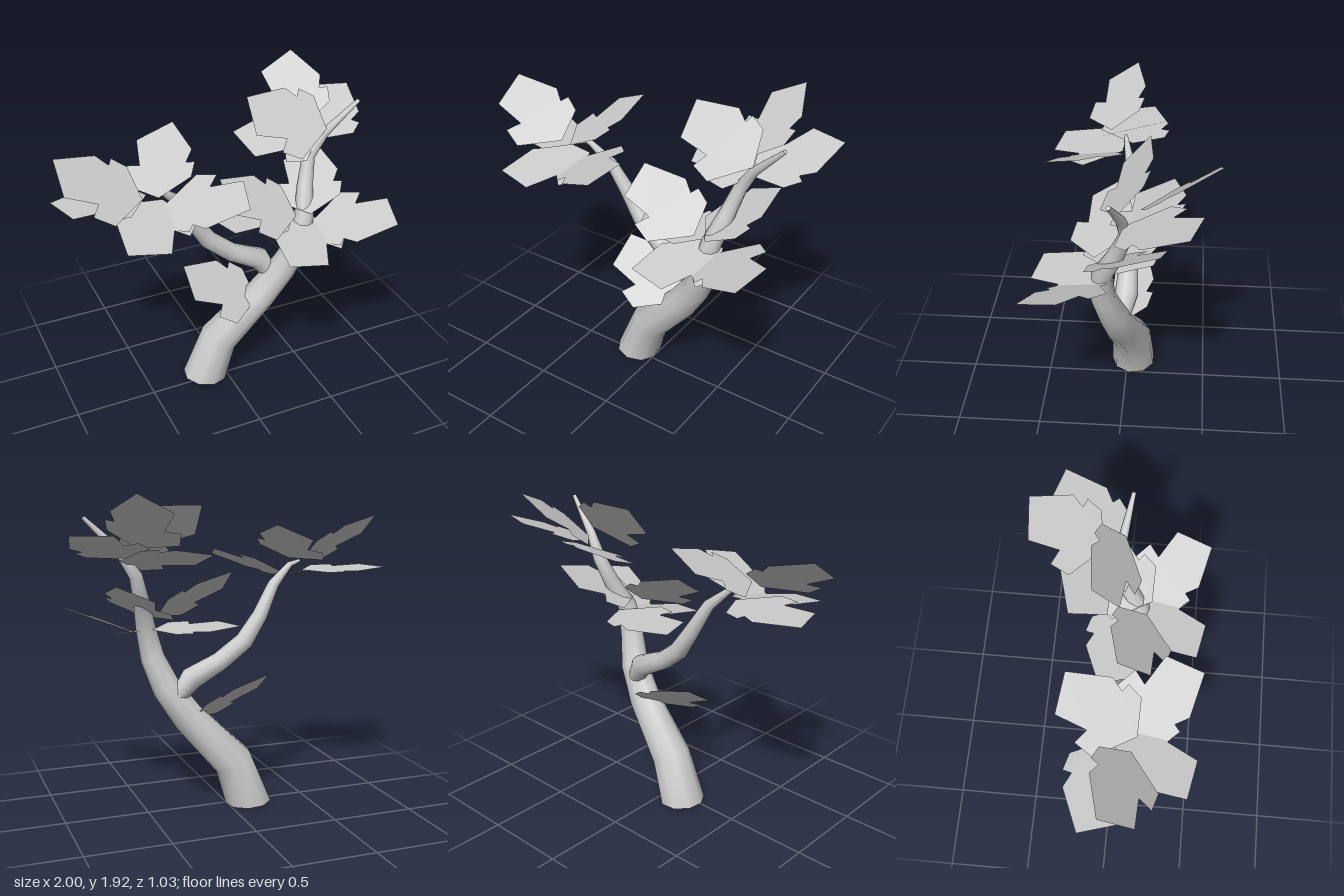
import * as THREE from 'three';

const bark = new THREE.MeshStandardMaterial({ color: 0xcccccc });
const leafMaterial = new THREE.MeshStandardMaterial({ color: 0xcccccc, side: THREE.DoubleSide });

// Tapering limb: rows of [x, y, z, radius], one ring of vertices each, closed ends
function limb(name, rows, startDir) {
  const sides = 9, pos = [], idx = [];
  const pts = rows.map(r => new THREE.Vector3(r[0], r[1], r[2]));
  const up = new THREE.Vector3(0, 1, 0);
  const last = rows.length - 1;
  rows.forEach((row, i) => {
    const dir = pts[Math.min(i + 1, last)].clone().sub(pts[Math.max(i - 1, 0)]).normalize();
    if (i === 0 && startDir) dir.copy(startDir).normalize();
    const q = new THREE.Quaternion().setFromUnitVectors(up, dir);
    for (let s = 0; s < sides; s++) {
      const a = (s / sides) * Math.PI * 2;
      const p = new THREE.Vector3(Math.sin(a) * row[3], 0, Math.cos(a) * row[3]);
      pos.push(...p.applyQuaternion(q).add(pts[i]).toArray());
      if (i < last) {
        const b = i * sides + s, c = i * sides + (s + 1) % sides;
        idx.push(b, c, c + sides, b, c + sides, b + sides);
      }
    }
  });
  // Caps use their own vertices so the rim stays sharp
  for (const end of [0, last]) {
    const base = pos.length / 3;
    pos.push(...pos.slice(end * sides * 3, (end + 1) * sides * 3));
    for (let s = 1; s < sides - 1; s++) {
      idx.push(base, ...(end === 0 ? [base + s + 1, base + s] : [base + s, base + s + 1]));
    }
  }
  const geo = new THREE.BufferGeometry();
  geo.setAttribute('position', new THREE.Float32BufferAttribute(pos, 3));
  geo.setIndex(idx);
  geo.computeVertexNormals();
  const mesh = new THREE.Mesh(geo, bark);
  mesh.name = name;
  return mesh;
}

// Flat lobed leaf outline, stalk at the origin, growing along +x
const outline = [
  [0, 0], [0.066, -0.2], [0.16, -0.238], [0.178, -0.19], [0.253, -0.238],
  [0.5, -0.167], [0.458, 0.06], [0.267, 0.07], [0.303, 0.155], [0.182, 0.19],
];
const leafGeometry = new THREE.ShapeGeometry(
  new THREE.Shape(outline.map(p => new THREE.Vector2(p[0], p[1]))));

// Places a leaf by its stalk point, growing direction and sideways direction
function leaf(name, [origin, along, across]) {
  const u = new THREE.Vector3(...along).normalize();
  const n = u.clone().cross(new THREE.Vector3(...across)).normalize();
  const v = n.clone().cross(u);
  const mesh = new THREE.Mesh(leafGeometry, leafMaterial);
  mesh.quaternion.setFromRotationMatrix(new THREE.Matrix4().makeBasis(u, v, n));
  mesh.position.set(...origin);
  mesh.name = name;
  return mesh;
}

function cluster(name, leaves, offset = [0, 0, 0]) {
  const group = new THREE.Group();
  group.name = name;
  leaves.forEach((l, i) => group.add(leaf(name + 'Leaf' + (i + 1), l)));
  group.position.set(...offset);
  return group;
}

export function createModel() {
  const tree = new THREE.Group();
  tree.name = 'tree';

  // Leaning trunk, running out into the top twig
  tree.add(limb('trunk', [
    [-0.13, 0.01, -0.04, 0.14], [-0.03, 0.28, -0.035, 0.122], [0.23, 0.56, 0.01, 0.1],
    [0.36, 0.75, 0.05, 0.088], [0.43, 0.93, 0.1, 0.074], [0.47, 1.12, 0.1, 0.06],
    [0.51, 1.27, 0.02, 0.05], [0.56, 1.44, -0.04, 0.04], [0.65, 1.58, -0.02, 0.028],
    [0.84, 1.77, 0.025, 0.012],
  ], new THREE.Vector3(0.07, 1, 0)));

  // Side branch
  tree.add(limb('sideBranch', [
    [0.3, 0.7, 0, 0.05], [0.23, 0.81, -0.02, 0.07], [0.05, 0.9, -0.02, 0.058],
    [-0.1, 1.02, -0.04, 0.056], [-0.2, 1.17, -0.04, 0.046], [-0.3, 1.35, -0.01, 0.034],
    [-0.42, 1.46, 0.025, 0.018], [-0.49, 1.48, 0.035, 0.01],
  ], new THREE.Vector3(-0.3, 1, 0)));

  // Fan of five leaves, shared by the branch tip and the middle of the trunk
  const fan = [
    [[-0.553, 1.48, 0.13], [-0.928, 0.371, 0], [-0.2, -0.5, 0.839]],
    [[-0.47, 1.485, 0.155], [0.2, 0.36, -0.91], [-0.884, -0.331, -0.325]],
    [[-0.485, 1.427, -0.006], [-0.995, 0.02, 0.105], [0.105, 0, 0.995]],
    [[-0.422, 1.398, 0.1], [0.82, 0.29, 0.49], [0.45, 0.29, -0.78]],
    [[-0.41, 1.41, 0.05], [-0.38, -0.14, 0.91], [0.916, -0.119, 0.364]],
  ];
  tree.add(cluster('branchFoliage', fan));
  tree.add(cluster('middleFoliage', fan, [0.94, -0.315, 0.02]));

  // Single leaf low on the trunk
  tree.add(cluster('lowFoliage', fan.slice(0, 1), [0.75, -0.93, -0.1]));

  // Steeper leaves around the top twig
  tree.add(cluster('topFoliage', [
    [[0.65, 1.61, 0], [-0.97, 0.2, -0.08], [-0.2, -0.74, 0.64]],
    [[0.57, 1.6, -0.115], [-0.1, 0.51, -0.86], [-0.91, -0.374, -0.115]],
    [[0.675, 1.535, -0.125], [-0.998, -0.06, 0], [0.02, -0.36, 0.93]],
    [[0.628, 1.535, -0.035], [0.44, 0.35, -0.82], [-0.88, 0.056, -0.45]],
  ]));
  return tree;
}
